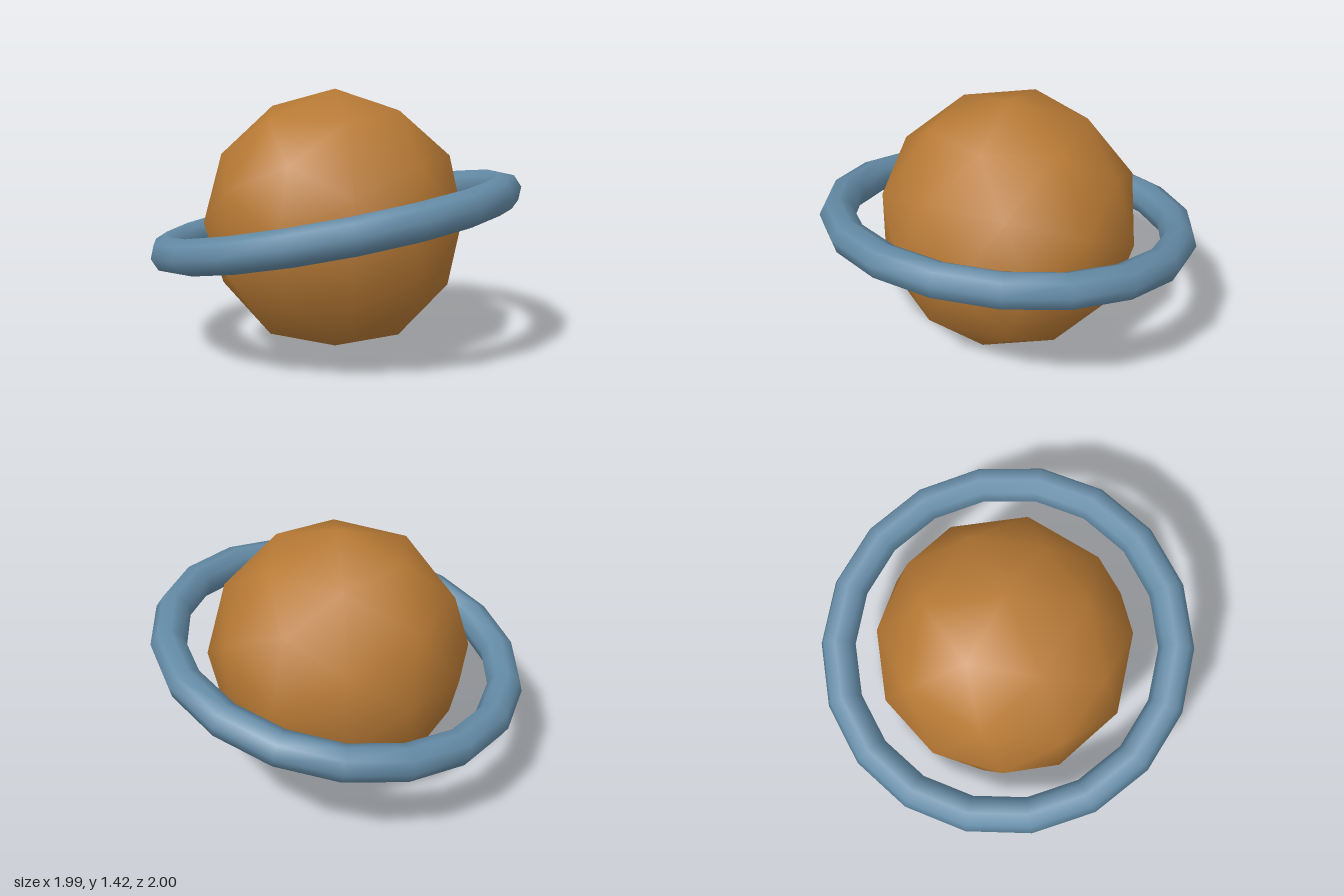
import * as THREE from 'three';

const RADIUS = 0.708; // planet radius

function addPart(group, name, geometry, color) {
  const mesh = new THREE.Mesh(geometry, new THREE.MeshStandardMaterial({ color }));
  mesh.name = name;
  mesh.position.y = RADIUS;
  group.add(mesh);
  return mesh;
}

export function createModel() {
  const model = new THREE.Group();
  model.name = 'ringedPlanet';

  // Planet: once-subdivided icosahedron with smooth normals
  addPart(model, 'planet', new THREE.IcosahedronGeometry(RADIUS, 1), 0xb87a35);

  // Ring: coarse torus laid flat, then tilted up towards +x
  const ringGeometry = new THREE.TorusGeometry(0.92, 0.0955, 8, 18).rotateX(Math.PI / 2);
  const ring = addPart(model, 'ring', ringGeometry, 0x648ba6);
  ring.rotation.z = 0.2;

  return model;
}
